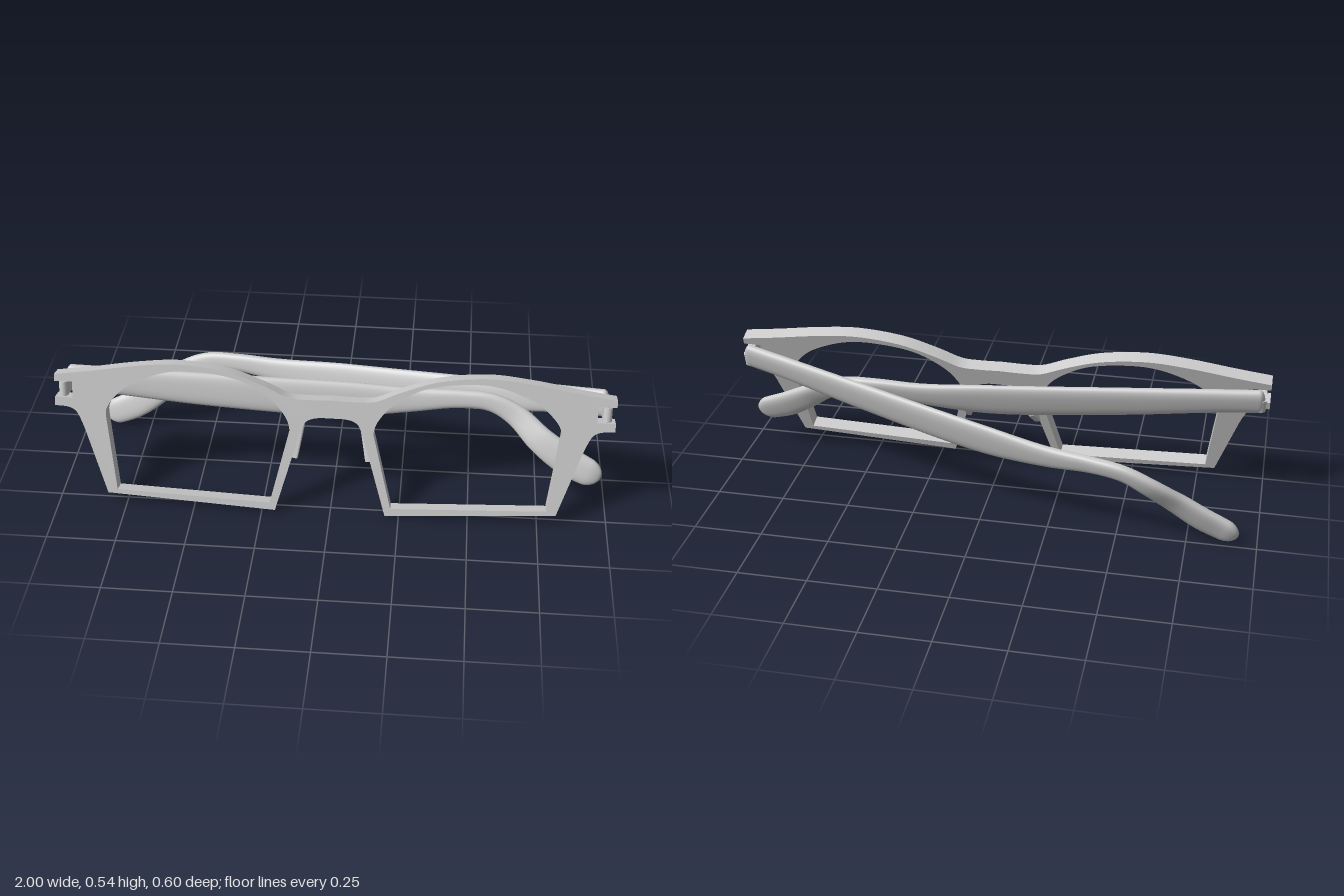
import * as THREE from 'three';
import { toCreasedNormals } from 'three/addons/utils/BufferGeometryUtils.js';

const material = new THREE.MeshStandardMaterial({ color: 0xcccccc });
const TILT = 0.2688; // lean of the front, radians
const DEPTH = 0.054; // thickness of the front

function add(parent, geometry, name) {
  const mesh = new THREE.Mesh(geometry, material);
  mesh.name = name;
  parent.add(mesh);
  return mesh;
}

const vectors = (list) => list.map(([x, y]) => new THREE.Vector2(x, y));
const smooth = (list, n) => new THREE.SplineCurve(vectors(list)).getPoints(n);
const mirrored = (points) => points.map((p) => new THREE.Vector2(-p.x, p.y)).reverse();

// Both rims, the bridge and the slotted end pieces, cut from one plate
function frontGeometry() {
  const half = [
    ...smooth([[0, 0.434], [0.09, 0.432], [0.158, 0.438], [0.25, 0.478], [0.38, 0.522], [0.545, 0.5415],
      [0.7, 0.529], [0.87, 0.502], [1, 0.484]], 48),
    ...vectors([[1, 0.458], [0.935, 0.458], [0.935, 0.398], [1, 0.398]]),
    ...smooth([[1, 0.366], [0.95, 0.362], [0.92, 0.342], [0.895, 0.285]], 14),
    ...vectors([[0.815, 0.035], [0.2, 0]]),
    ...smooth([[0.13, 0.245], [0.107, 0.32], [0.088, 0.352], [0.05, 0.365], [0, 0.366]], 18),
  ];
  const shape = new THREE.Shape([...half, ...mirrored(half).slice(1, -1)]);
  const opening = [
    ...vectors([[0.22, 0.028], [0.78, 0.05]]),
    ...smooth([[0.815, 0.334], [0.812, 0.362], [0.785, 0.405], [0.72, 0.46], [0.6, 0.508], [0.48, 0.517],
      [0.33, 0.492], [0.22, 0.428], [0.165, 0.362], [0.15, 0.315]], 54),
  ];
  shape.holes.push(new THREE.Path(opening), new THREE.Path(mirrored(opening)));
  const g = new THREE.ExtrudeGeometry(shape, { depth: DEPTH, bevelEnabled: false });
  g.translate(0, 0, -DEPTH);
  return toCreasedNormals(g, 0.45);
}

// Temple stations: distance from hinge, height, inward bend, half height, half thickness
const STATIONS = [
  [-0.012, 0.441, 0, 0.05, 0.021], [0.15, 0.434, 0, 0.051, 0.021], [0.5, 0.409, 0, 0.062, 0.021],
  [0.98, 0.386, 0, 0.067, 0.02], [1.25, 0.392, 0.006, 0.046, 0.02], [1.42, 0.405, 0.02, 0.034, 0.02],
  [1.54, 0.398, 0.031, 0.034, 0.02], [1.63, 0.355, 0.046, 0.041, 0.021], [1.72, 0.276, 0.085, 0.05, 0.022],
  [1.81, 0.213, 0.106, 0.055, 0.022], [1.88, 0.178, 0.12, 0.052, 0.021], [1.94, 0.155, 0.127, 0.046, 0.02],
];

// Rounded oval sections swept along the temple; side is +1 or -1
function templeGeometry(side) {
  const path = new THREE.CatmullRomCurve3(STATIONS.map(([s, v, b]) => new THREE.Vector3(s, v, b)));
  const size = new THREE.CatmullRomCurve3(STATIONS.map((p, i) => new THREE.Vector3(i / 10, p[3], p[4])));
  const start = path.getPoint(0), end = path.getPoint(1);
  const rows = 110, cols = 28, positions = [], index = [];
  const cap = (d, r) => (d >= r ? 1 : Math.sqrt(1 - (1 - d / r) ** 2));
  const power = (x) => Math.sign(x) * Math.abs(x) ** 0.75;
  for (let i = 0; i <= rows; i++) {
    const u = (1 - Math.cos((Math.PI * i) / rows)) / 2;
    const c = path.getPoint(u), t = path.getTangent(u), r = size.getPoint(u);
    const k = cap(c.distanceTo(start), 0.02) * cap(c.distanceTo(end), 0.055);
    const up = new THREE.Vector3(-t.y, t.x, 0).normalize();
    const across = new THREE.Vector3().crossVectors(t, up);
    for (let j = 0; j < cols; j++) {
      const a = (j / cols) * Math.PI * 2;
      const p = c.clone().addScaledVector(up, power(Math.cos(a)) * r.y * k)
        .addScaledVector(across, power(Math.sin(a)) * r.z * k);
      positions.push(-side * p.x, p.y, p.z);
      if (i === rows) continue;
      const p0 = i * cols + j, p1 = i * cols + ((j + 1) % cols), q0 = p0 + cols, q1 = p1 + cols;
      if (side < 0) index.push(p0, p1, q0, p1, q1, q0);
      else index.push(p0, q0, p1, p1, q0, q1);
    }
  }
  const g = new THREE.BufferGeometry();
  g.setAttribute('position', new THREE.Float32BufferAttribute(positions, 3));
  g.setIndex(index);
  g.computeVertexNormals();
  return g;
}

// Thin wedge behind the inner edge of a rim
function nosePadGeometry() {
  const profile = vectors([[0.045, 0.35], [0.06, 0.344], [0.1, 0.295], [0.104, 0.27], [0.056, 0.199], [0.03, 0.2]]);
  const g = new THREE.ExtrudeGeometry(new THREE.Shape(profile), {
    depth: 0.014, bevelEnabled: true, bevelSize: 0.004, bevelThickness: 0.005, bevelSegments: 2,
  });
  g.translate(0, -0.27, -0.007);
  g.rotateY(Math.PI / 2); // profile x now runs backwards
  return g;
}

export function createModel() {
  const model = new THREE.Group();
  model.name = 'eyeglasses';
  const body = new THREE.Group();
  body.name = 'tiltedBody';
  body.rotation.x = -TILT;
  body.position.set(0, 0.018, 0.298);
  model.add(body);

  add(body, frontGeometry(), 'frontFrame');

  for (const side of [1, -1]) {
    const label = side > 0 ? 'left' : 'right';

    // Folded temples: the left one lies over the right one
    const temple = add(body, templeGeometry(side), label + 'Temple');
    temple.position.set(side * 0.97, 0, -0.097);
    temple.rotation.y = side > 0 ? -0.276 : 0.064;

    // Hinge leaf, with a pin in the front and one in the temple
    const hinge = new THREE.Group();
    hinge.name = label + 'Hinge';
    hinge.position.set(side * 0.97, 0.428, 0);
    body.add(hinge);
    add(hinge, new THREE.BoxGeometry(0.03, 0.052, 0.085), 'hingeLeaf').position.z = -0.057;
    for (const z of [-0.016, -0.1]) {
      add(hinge, new THREE.CylinderGeometry(0.016, 0.016, 0.052, 20), 'hingeKnuckle').position.z = z;
      add(hinge, new THREE.CylinderGeometry(0.007, 0.007, 0.07, 12), 'hingePin').position.z = z;
    }

    const pad = add(body, nosePadGeometry(), label + 'NosePad');
    pad.position.set(side * 0.122, 0.27, 0);
    pad.rotation.z = side * 0.17;
  }
  return model;
}
